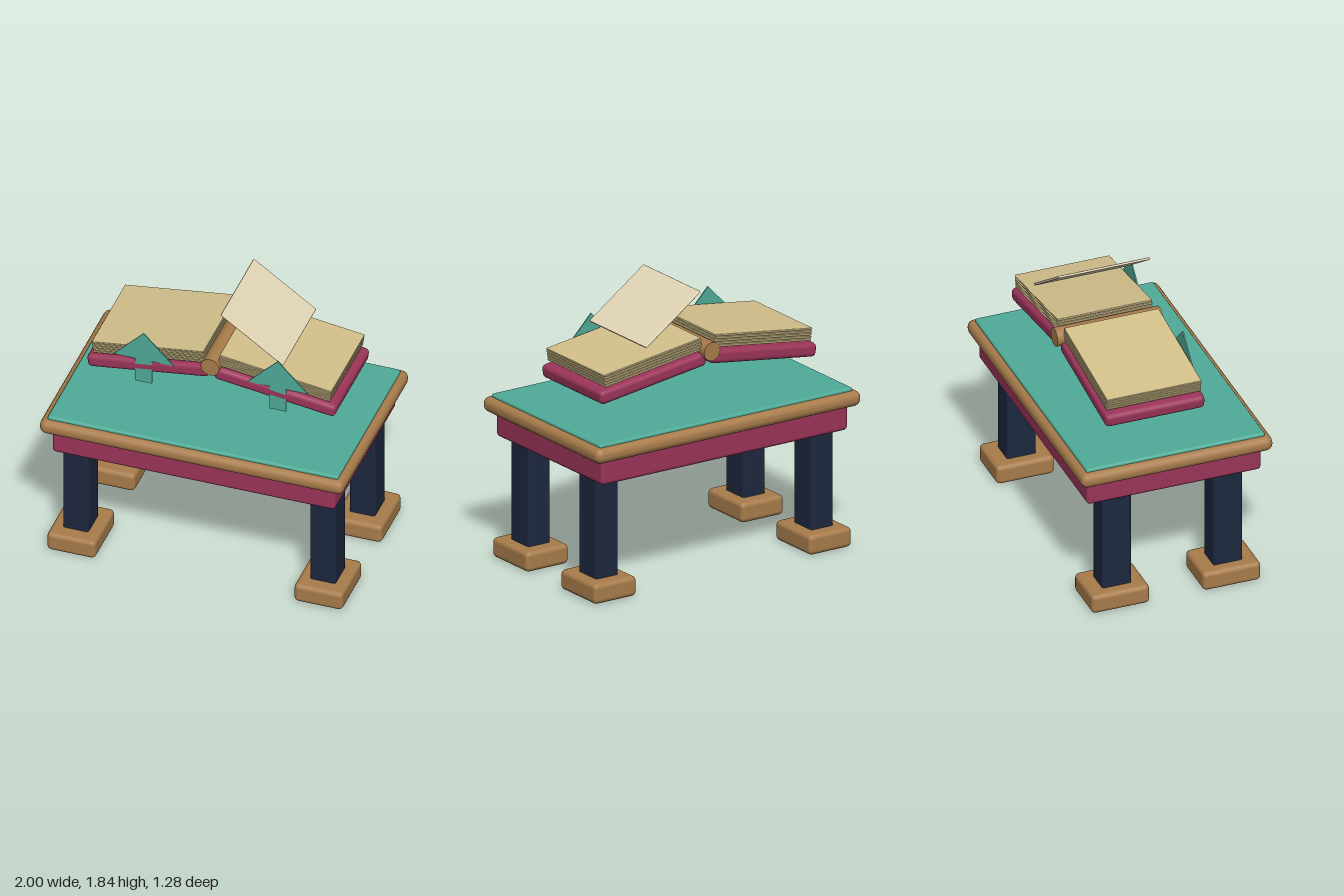
import * as THREE from 'three';
import { RoundedBoxGeometry } from 'three/addons/geometries/RoundedBoxGeometry.js';

const mat = (color) => new THREE.MeshStandardMaterial({ color });
const wood = mat(0xa87c4b), maroon = mat(0x9b3459), navy = mat(0x1d283f);
const teal = mat(0x50ab98), paper = mat(0xd3c08b), palePaper = mat(0xe3d7b6);

function add(parent, name, geometry, material, x, y, z, tilt = 0) {
  const mesh = new THREE.Mesh(geometry, material);
  mesh.name = name;
  mesh.position.set(x, y, z);
  mesh.rotation.z = tilt;
  parent.add(mesh);
  return mesh;
}

const block = (w, h, d, r) => new RoundedBoxGeometry(w, h, d, 2, r);

function createTable() {
  const table = new THREE.Group();
  table.name = 'table';
  add(table, 'tableTop', block(2, 0.1, 1.276, 0.045), wood, 0, 0.99, 0);
  add(table, 'deskPad', block(1.91, 0.04, 1.19, 0.015), teal, 0, 1.04, 0);
  add(table, 'apron', block(1.86, 0.19, 1.16, 0.025), maroon, 0, 0.875, 0);
  for (const sx of [-1, 1]) {
    for (const sz of [-1, 1]) {
      add(table, 'leg', block(0.167, 0.76, 0.194, 0.015), navy, sx * 0.812, 0.45, sz * 0.37);
      add(table, 'foot', block(0.32, 0.13, 0.386, 0.03), wood, sx * 0.812, 0.065, sz * 0.37);
    }
  }
  return table;
}

// Flat arrow pointing up, its base line at y = 0
function arrowGeometry() {
  const points = [[0, 0.203], [-0.197, 0], [-0.055, 0], [-0.055, -0.17],
    [0.055, -0.17], [0.055, 0], [0.197, 0]];
  const shape = new THREE.Shape(points.map(([x, y]) => new THREE.Vector2(x, y)));
  return new THREE.ExtrudeGeometry(shape, { depth: 0.008, bevelEnabled: false });
}

function createBook() {
  const book = new THREE.Group();
  book.name = 'openBook';
  const z = -0.079, slope = 0.138, sheets = 5, pitch = 0.0175;

  // Spine rod running front to back
  const rod = new THREE.CylinderGeometry(0.061, 0.061, 0.702, 24).rotateX(Math.PI / 2);
  add(book, 'spine', rod, wood, 0, 1.44, -0.087);

  // Mirrored halves: cover, stack of sheets, arrow marker
  for (const s of [-1, 1]) {
    const tilt = -s * slope;
    add(book, 'cover', block(0.805, 0.09, 0.662, 0.03), maroon, s * 0.417, 1.333, z, tilt);
    for (let i = 0; i < sheets; i++) {
      const lift = (i - (sheets - 1) / 2) * pitch;
      add(book, 'sheet', block(0.742, 0.013, 0.63, 0.004), paper,
        s * (0.415 + lift * Math.sin(slope)), 1.437 + lift * Math.cos(slope), z, tilt);
    }
    add(book, 'arrowMarker', arrowGeometry(), teal, s * 0.441, 1.382, 0.2435);
  }

  // Single page in mid turn
  add(book, 'turningPage', block(0.502, 0.016, 0.612, 0.005), palePaper, 0.262, 1.688, -0.084, -0.615);
  return book;
}

export function createModel() {
  const model = new THREE.Group();
  model.name = 'tableWithOpenBook';
  model.add(createTable(), createBook());
  return model;
}
